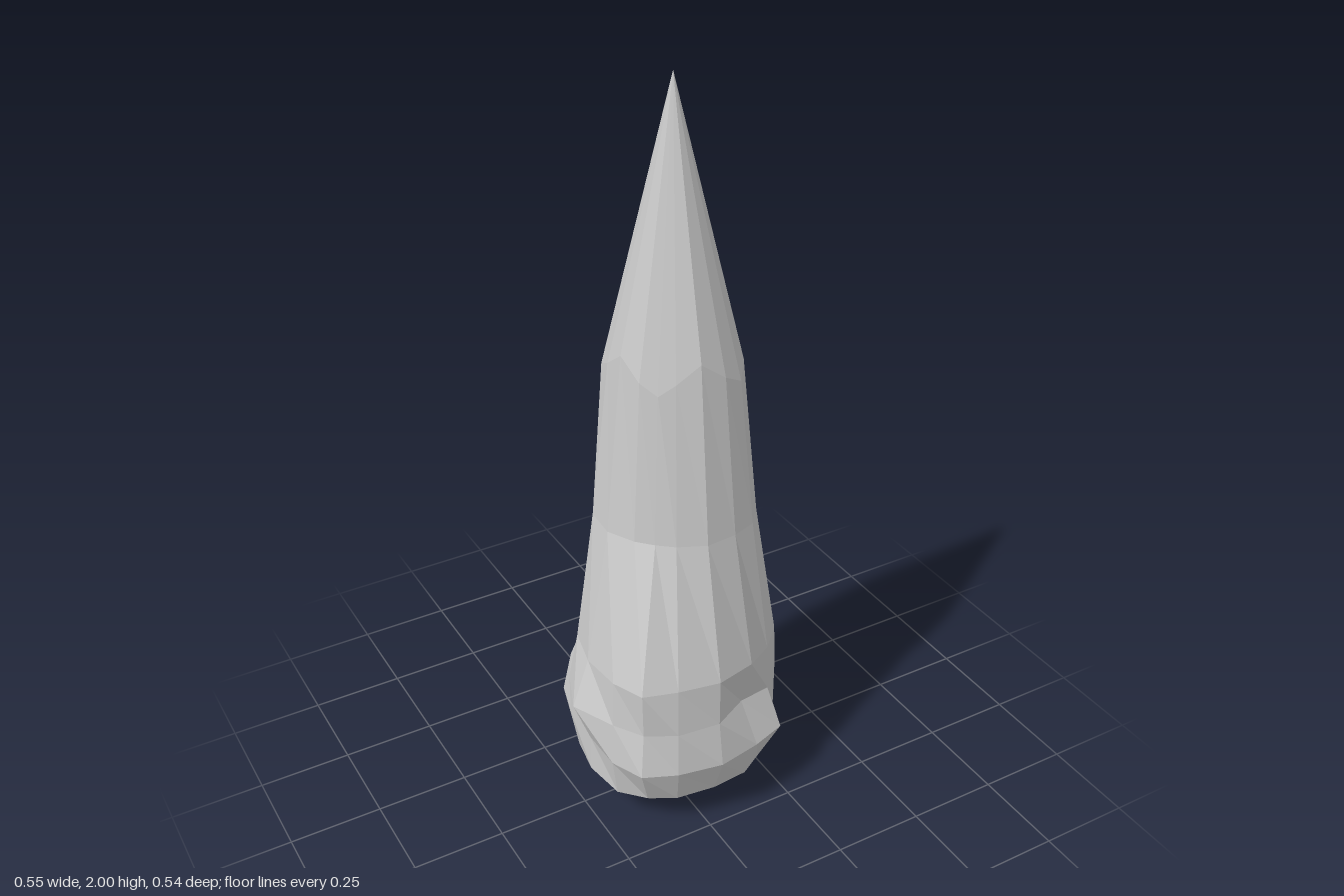
import * as THREE from 'three';

// Sixteen columns around the axis; 0 degrees is +x, 90 degrees is the front (+z)
const ANGLES = [0, 26, 45, 64, 90, 116, 135, 154, 180, 206, 225, 244, 270, 296, 315, 334];
const AXIS_X = 0.022;
const TIP = [AXIS_X, 2, 0];
const FOOT = [AXIS_X, 0, 0];

// Cross-sections from bottom to top: height, lift of the diagonal corners, radius per column
const RINGS = [
  { y: 0.03, lift: 0.005, r: [0.125, 0.14, 0.17, 0.14, 0.125, 0.14, 0.17, 0.14, 0.125, 0.14, 0.17, 0.14, 0.125, 0.145, 0.185, 0.145] },
  { y: 0.11, lift: -0.01, r: [0.25, 0.27, 0.245, 0.24, 0.23, 0.235, 0.24, 0.255, 0.25, 0.255, 0.245, 0.24, 0.23, 0.24, 0.25, 0.27] },
  { y: 0.22, lift: 0, r: [0.25, 0.28, 0.305, 0.275, 0.27, 0.275, 0.295, 0.275, 0.25, 0.275, 0.31, 0.275, 0.25, 0.275, 0.315, 0.28] },
  { y: 0.345, lift: 0, r: [0.25, 0.28, 0.265, 0.222, 0.25, 0.265, 0.275, 0.27, 0.297, 0.275, 0.285, 0.275, 0.268, 0.275, 0.28, 0.28] },
  { y: 0.48, lift: 0, r: [0.245, 0.275, 0.26, 0.25, 0.25, 0.255, 0.285, 0.265, 0.25, 0.25, 0.235, 0.235, 0.222, 0.235, 0.24, 0.265] },
  { y: 0.86, lift: 0, r: [0.215, 0.215, 0.21, 0.19, 0.178, 0.162, 0.158, 0.165, 0.185, 0.2, 0.205, 0.205, 0.208, 0.21, 0.213, 0.215] },
  { y: 1.34, lift: -0.08, r: [0.172, 0.172, 0.17, 0.152, 0.135, 0.125, 0.13, 0.138, 0.14, 0.155, 0.178, 0.16, 0.142, 0.155, 0.175, 0.175] },
];

// Corner points of one cross-section
function ringPoints({ y, lift, r }) {
  return ANGLES.map((deg, i) => {
    const a = THREE.MathUtils.degToRad(deg);
    const corner = Math.sin(2 * a) ** 2;
    return [AXIS_X + r[i] * Math.cos(a), y + lift * corner, r[i] * Math.sin(a)];
  });
}

function createModel() {
  const group = new THREE.Group();
  group.name = 'spike';

  const rings = RINGS.map(ringPoints);
  const n = ANGLES.length;
  const positions = [];
  const triangle = (a, b, c) => positions.push(...a, ...b, ...c);

  for (let i = 0; i < n; i++) {
    const j = (i + 1) % n;
    // Rounded underside
    triangle(FOOT, rings[0][i], rings[0][j]);
    // Faceted sides
    for (let k = 0; k < rings.length - 1; k++) {
      const low = rings[k], high = rings[k + 1];
      triangle(low[i], high[i], high[j]);
      triangle(low[i], high[j], low[j]);
    }
    // Pointed top
    const last = rings[rings.length - 1];
    triangle(last[i], TIP, last[j]);
  }

  const geometry = new THREE.BufferGeometry();
  geometry.setAttribute('position', new THREE.Float32BufferAttribute(positions, 3));
  geometry.computeVertexNormals();

  const body = new THREE.Mesh(
    geometry,
    new THREE.MeshStandardMaterial({ color: 0xcccccc, flatShading: true })
  );
  body.name = 'spikeBody';
  group.add(body);
  return group;
}

export { createModel };
